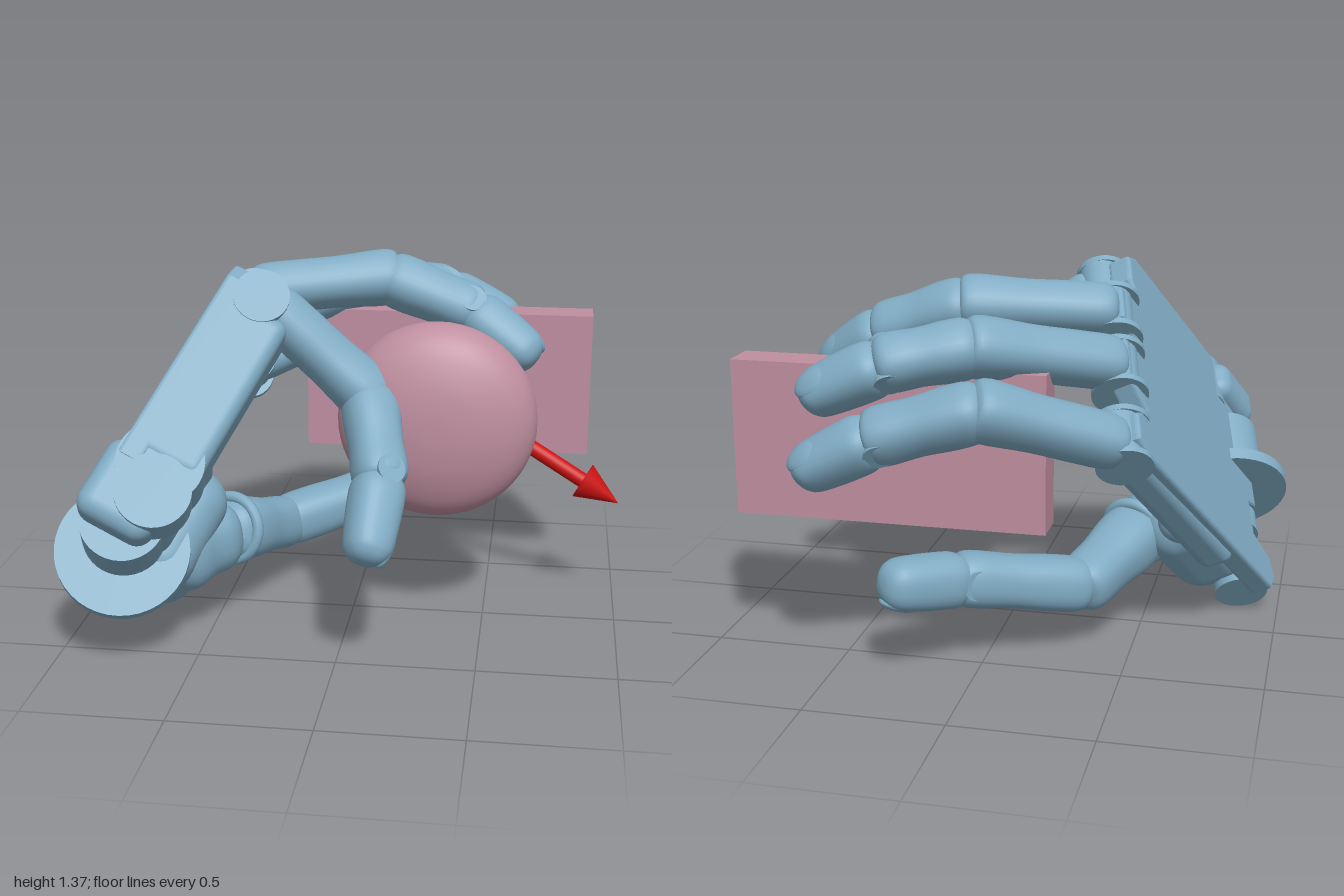
import * as THREE from 'three';
import { mergeVertices } from 'three/addons/utils/BufferGeometryUtils.js';
import { RoundedBoxGeometry } from 'three/addons/geometries/RoundedBoxGeometry.js';

const blue = new THREE.MeshStandardMaterial({ color: 0x80abc3 });
const pink = new THREE.MeshStandardMaterial({ color: 0xbf8fa0 });
const red = new THREE.MeshStandardMaterial({ color: 0xcc1111 });
const V = (a) => new THREE.Vector3(...a);

function add(parent, name, geometry, material, pos = [0, 0, 0]) {
  const m = new THREE.Mesh(geometry, material);
  m.name = name;
  m.position.set(...pos);
  parent.add(m);
  return m;
}

// Lathe with a smooth profile and a slightly squared cross-section
function podGeometry(profile, power) {
  const curve = new THREE.SplineCurve(profile.map((p) => new THREE.Vector2(...p)));
  const pts = curve.getPoints(30).map((p) => new THREE.Vector2(Math.max(0, p.x), p.y));
  let g = new THREE.LatheGeometry(pts, 32);
  const p = g.attributes.position;
  for (let i = 0; i < p.count; i++) {
    const x = p.getX(i), z = p.getZ(i), r = Math.hypot(x, z);
    if (r < 1e-5) continue;
    const k = (Math.abs(x / r) ** power + Math.abs(z / r) ** power) ** (-1 / power);
    p.setXYZ(i, x * k, p.getY(i), z * k);
  }
  g.deleteAttribute('uv');
  g.deleteAttribute('normal');
  g = mergeVertices(g, 1e-5);
  g.computeVertexNormals();
  return g;
}

// One limb segment from a to b; "out" is the back-of-finger direction (local z)
function segment(parent, name, a, b, r0, r1, out, isTip = false) {
  const dir = b.clone().sub(a), L = dir.length();
  dir.normalize();
  const z = out.clone().addScaledVector(dir, -out.dot(dir)).normalize();
  const x = new THREE.Vector3().crossVectors(dir, z);
  const start = [[0, -0.5 * r0], [0.6 * r0, -0.42 * r0], [0.95 * r0, 0], [r0, 0.25 * L]];
  const end = isTip
    ? [[r1, L - 0.9 * r1], [0.8 * r1, L - 0.35 * r1], [0.45 * r1, L - 0.08 * r1], [0, L]]
    : [[(r0 + r1) * 0.48, 0.6 * L], [r1, L], [0.65 * r1, L + 0.42 * r1], [0, L + 0.5 * r1]];
  const group = new THREE.Group();
  group.name = name;
  group.position.copy(a);
  group.quaternion.setFromRotationMatrix(new THREE.Matrix4().makeBasis(x, dir, z));
  parent.add(group);
  add(group, name + 'Shell', podGeometry([...start, ...end], 2.5), blue);
  if (isTip) {
    const nail = add(group, 'nail', new THREE.SphereGeometry(1, 20, 12), blue, [0, L - 0.95 * r1, r1 * 0.76]);
    nail.scale.set(r1 * 0.66, r1 * 0.9, r1 * 0.3);
    nail.rotation.x = -0.15;
  }
}

// Jointed finger: knuckle, two joints and tip, bending away from its back
function finger(parent, name, points, radii, nailOut) {
  const p = points.map(V), group = new THREE.Group();
  group.name = name;
  parent.add(group);
  const dirs = [0, 1, 2].map((i) => p[i + 1].clone().sub(p[i]).normalize());
  const outs = [
    dirs[0].clone().sub(dirs[2]), dirs[0].clone().sub(dirs[2]), dirs[0],
  ].map((o) => nailOut || o);
  ['proximal', 'middle', 'distal'].forEach((n, i) => {
    const a = p[i].clone().addScaledVector(dirs[i], i === 2 ? 0.04 : 0.02);
    segment(group, n, a, p[i + 1], radii[i], radii[i + 1], outs[i], i === 2);
  });
  // hinge pin across the last joint
  const pin = add(group, 'hingePin', new THREE.CylinderGeometry(radii[2] * 0.55, radii[2] * 0.55, radii[2] * 1.9, 20), blue);
  pin.position.copy(p[2]);
  const axis = new THREE.Vector3().crossVectors(dirs[2], outs[2]).normalize();
  pin.quaternion.setFromUnitVectors(new THREE.Vector3(0, 1, 0), axis);
}

function buildPalm(hand) {
  // Palm frame: x towards the fingers, y across the knuckles, z out of the palm
  const palm = new THREE.Group();
  palm.name = 'palm';
  const u = V([0.381, 0.675, -0.631]).normalize();
  const n = u.clone().cross(V([0.204, 0.605, 0.77])).normalize();
  const v = n.clone().cross(u);
  palm.quaternion.setFromRotationMatrix(new THREE.Matrix4().makeBasis(u, v, n));
  palm.position.set(-0.57, 0.75, 0.16);
  hand.add(palm);

  // Back plate with a notched wrist edge and scalloped knuckle edge
  const outline = [
    [-0.6, -0.46], [0.42, -0.48], [0.5, -0.45], [0.5, -0.36], [0.41, -0.28], [0.54, -0.2], [0.54, -0.06],
    [0.42, 0], [0.54, 0.06], [0.54, 0.18], [0.39, 0.25], [0.44, 0.31], [0.44, 0.41], [0.39, 0.44],
    [-0.34, 0.44], [-0.34, 0.28], [-0.46, 0.26], [-0.46, 0.1], [-0.54, 0.08], [-0.54, -0.12],
    [-0.47, -0.14], [-0.47, -0.3], [-0.62, -0.34], [-0.64, -0.41],
  ].map((p) => new THREE.Vector2(...p));
  add(palm, 'backPlate', new THREE.ExtrudeGeometry(new THREE.Shape(outline), {
    depth: 0.06, bevelSize: 0.015, bevelThickness: 0.015, bevelSegments: 3,
  }), blue, [0, 0, -0.08]);

  // Metacarpal housings and fork knuckles: [u, v, w, housing top]
  const knuckles = [[0.4, 0.36, 0.05, 0.19], [0.5, 0.12, -0.02, 0.07], [0.5, -0.13, -0.02, 0.07], [0.47, -0.41, 0, 0.07]];
  for (const [ku, kv, kw, top] of knuckles) {
    const len = ku + 0.26;
    add(palm, 'metacarpal', new RoundedBoxGeometry(len, 0.19, top + 0.07, 4, 0.045), blue,
      [ku - 0.06 - len / 2, kv, (top - 0.07) / 2]);
    add(palm, 'knuckleBarrel', new THREE.CylinderGeometry(0.08, 0.08, 0.17, 24), blue, [ku, kv, kw]);
    for (const s of [-1, 1]) {
      add(palm, 'knuckleCheek', new THREE.CylinderGeometry(0.1, 0.1, 0.022, 28), blue, [ku - 0.02, kv + s * 0.088, kw]);
    }
  }
  add(palm, 'palmPad', new RoundedBoxGeometry(0.72, 0.78, 0.13, 4, 0.04), blue, [0.03, -0.06, -0.01]);

  // Wrist block and its hinge lugs: [u, v, w, radius, width]
  add(palm, 'wristBlock', new RoundedBoxGeometry(0.44, 0.82, 0.25, 5, 0.08), blue, [-0.31, -0.02, 0.035]);
  const lugs = [[-0.32, 0.35, 0.05, 0.15, 0.2], [-0.42, 0.39, 0.08, 0.13, 0.14], [-0.5, 0.13, 0, 0.15, 0.2],
    [-0.55, 0, 0.02, 0.24, 0.05], [-0.52, -0.2, 0.04, 0.13, 0.09], [-0.59, -0.4, 0.03, 0.1, 0.13]];
  for (const [lu, lv, lw, r, w] of lugs) {
    add(palm, 'wristLug', new THREE.CylinderGeometry(r, r, w, 40), blue, [lu, lv, lw]);
  }
  add(palm, 'wristLugArm', new RoundedBoxGeometry(0.3, 0.17, 0.28, 4, 0.06), blue, [-0.44, 0.36, 0]);
  add(palm, 'thumbMount', new RoundedBoxGeometry(0.48, 0.48, 0.35, 6, 0.13), blue, [-0.36, -0.2, 0.085]);
}

function buildHand(model) {
  const hand = new THREE.Group();
  hand.name = 'hand';
  model.add(hand);
  buildPalm(hand);
  const radii = [0.092, 0.1, 0.095, 0.085];
  finger(hand, 'indexFinger', [[-0.27, 1.21, 0.2], [0.08, 0.89, 0.19], [0.15, 0.67, 0.43], [0.125, 0.43, 0.66]], radii);
  finger(hand, 'middleFinger', [[-0.38, 1.2, -0.1], [0.1, 1.23, -0.25], [0.41, 1.12, -0.22], [0.67, 0.95, -0.13]], radii);
  finger(hand, 'ringFinger', [[-0.43, 1.05, -0.28], [0, 1.15, -0.57], [0.28, 1.1, -0.66], [0.58, 0.96, -0.66]], radii);
  finger(hand, 'littleFinger', [[-0.47, 0.82, -0.48], [-0.06, 0.98, -0.74], [0.28, 0.88, -0.78], [0.57, 0.73, -0.78]], radii);
  finger(hand, 'thumb', [[-0.47, 0.31, 0.1], [-0.32, 0.215, -0.26], [0.06, 0.295, -0.5], [0.3, 0.335, -0.73]],
    [0.12, 0.1, 0.098, 0.092], V([0.2, -1, -0.2]));

  // Collar where the thumb leaves its mount
  segment(hand, 'thumbBase', V([-0.64, 0.3, 0.3]), V([-0.5, 0.32, 0.15]), 0.16, 0.135, V([0, 1, 0]));
  const collar = add(hand, 'thumbCollar', new THREE.TorusGeometry(0.12, 0.022, 12, 36), blue, [-0.46, 0.31, 0.08]);
  collar.quaternion.setFromUnitVectors(V([0, 0, 1]), V([0.15, -0.09, -0.37]).normalize());
}

function buildKnob(model) {
  const knob = new THREE.Group();
  knob.name = 'doorKnob';
  model.add(knob);
  add(knob, 'doorPanel', new THREE.BoxGeometry(1.12, 0.56, 0.14), pink, [0.32, 0.78, -0.49]);
  const handle = new THREE.SplineCurve([
    [0.11, -0.37], [0.11, -0.28], [0.115, -0.21], [0.16, -0.16], [0.23, -0.085], [0.31, 0], [0.355, 0.06],
    [0.363, 0.11], [0.34, 0.17], [0.28, 0.22], [0.18, 0.258], [0.08, 0.275], [0, 0.278],
  ].map((p) => new THREE.Vector2(...p))).getPoints(60).map((p) => new THREE.Vector2(Math.max(0, p.x), p.y));
  add(knob, 'knobHandle', new THREE.LatheGeometry(handle, 56).rotateX(Math.PI / 2), pink, [0.32, 0.78, 0]);

  // Rosette: two stepped rings with rounded rims
  for (const [r, z, t] of [[0.19, -0.39, 0.022], [0.165, -0.368, 0.014]]) {
    add(knob, 'rosetteRim', new THREE.TorusGeometry(r, t, 12, 48), pink, [0.32, 0.78, z]);
    add(knob, 'rosetteDisc', new THREE.CylinderGeometry(r, r, t * 2, 48).rotateX(Math.PI / 2), pink, [0.32, 0.78, z]);
  }
  add(knob, 'rosetteNeck', new THREE.CylinderGeometry(0.13, 0.13, 0.07, 40).rotateX(Math.PI / 2), pink, [0.32, 0.78, -0.39]);
}

function buildArrow(model) {
  const tail = V([0.38, 0.745, -0.27]), tip = V([1, 0.4, -0.14]);
  const L = tail.distanceTo(tip), head = 0.16;
  const arrow = new THREE.Group();
  arrow.name = 'arrow';
  arrow.position.copy(tail);
  arrow.quaternion.setFromUnitVectors(V([0, 1, 0]), tip.sub(tail).normalize());
  model.add(arrow);
  add(arrow, 'arrowShaft', new THREE.CylinderGeometry(0.029, 0.029, L - head, 24), red, [0, (L - head) / 2, 0]);
  add(arrow, 'arrowHead', new THREE.ConeGeometry(0.072, head, 32), red, [0, L - head / 2, 0]);
}

export function createModel() {
  const model = new THREE.Group();
  model.name = 'handOnDoorKnob';
  buildHand(model);
  buildKnob(model);
  buildArrow(model);
  return model;
}
